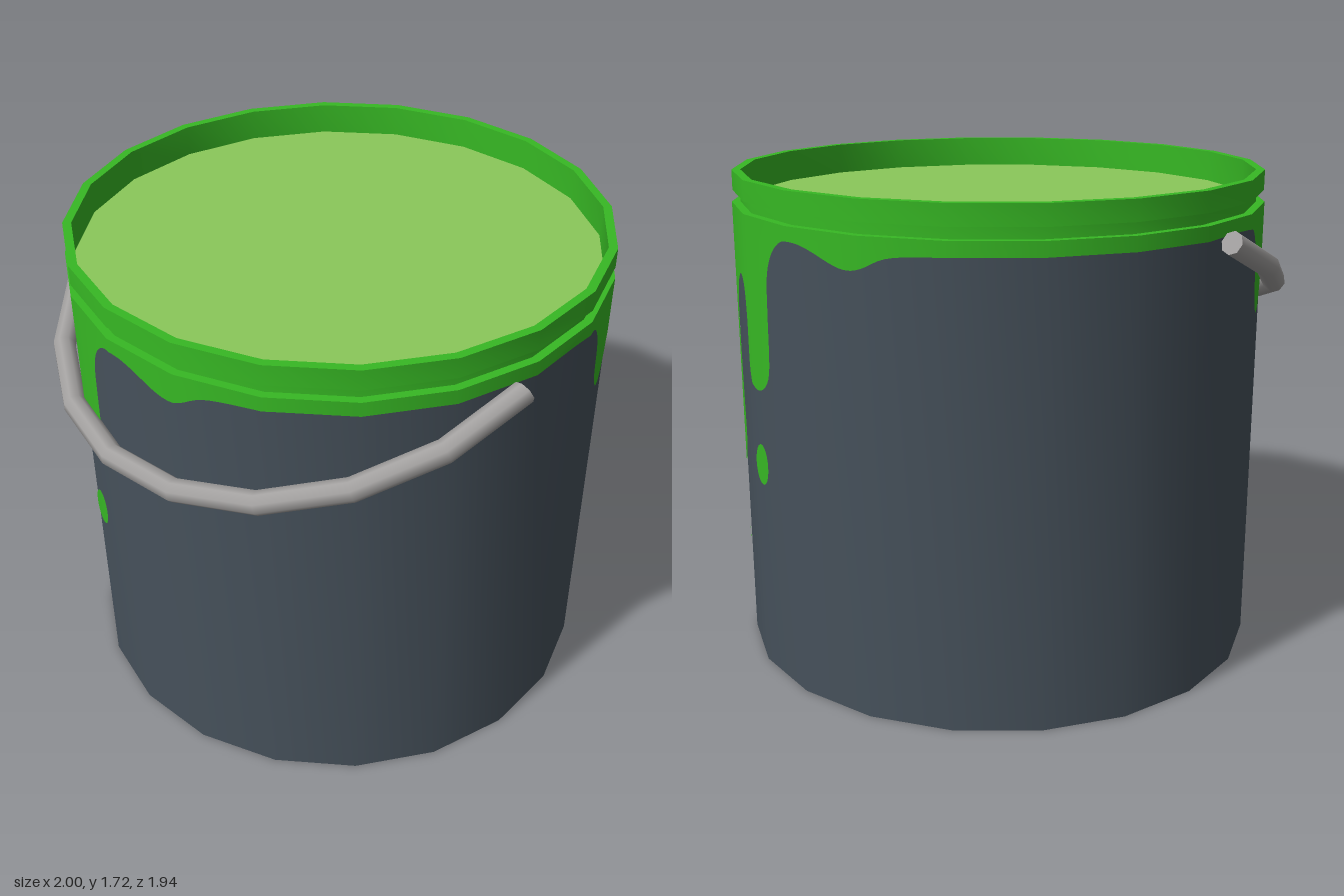
import * as THREE from 'three';
import { toCreasedNormals } from 'three/addons/utils/BufferGeometryUtils.js';

const SIDES = 20, STEP = 360 / SIDES, R = 0.93, BODY_TOP = 1.61, CENTRE_Z = -0.04;

const material = (name, color) => {
  const m = new THREE.MeshStandardMaterial({ color });
  m.name = name;
  return m;
};

// Faceted turned part: smooth around, sharp at the profile corners
const turned = (profile) => toCreasedNormals(
  new THREE.LatheGeometry(profile.map(([r, y]) => new THREE.Vector2(r, y)), SIDES), 0.6);

// Keep the part of a polygon on one side of a vertical line
function clip(points, limit, sign) {
  const out = [];
  points.forEach((a, i) => {
    const b = points[(i + 1) % points.length];
    const da = (a.x - limit) * sign, db = (b.x - limit) * sign;
    if (da >= 0) out.push(a.clone());
    if (da * db < 0) out.push(a.clone().lerp(b, da / (da - db)));
  });
  return out;
}

// Wrap an outline (x = degrees from the front, y = height) onto the flat sides of the pail
function wrap(outline, radius) {
  const pos = [], nor = [], index = [];
  for (let d = -90; d < 90; d += STEP) {
    const poly = clip(clip(outline, d, 1), d + STEP, -1);
    if (poly.length < 3) continue;
    const base = pos.length / 3;
    const a0 = THREE.MathUtils.degToRad(d), a1 = THREE.MathUtils.degToRad(d + STEP);
    const faces = THREE.ShapeUtils.triangulateShape(poly, []);
    for (const p of poly) {
      const a = THREE.MathUtils.degToRad(p.x);
      const mid = (a0 + a1) / 2;
      const t = 0.5 + Math.tan(a - mid) / (2 * Math.tan(a1 - mid));
      const x = THREE.MathUtils.lerp(Math.sin(a0), Math.sin(a1), t);
      const z = THREE.MathUtils.lerp(Math.cos(a0), Math.cos(a1), t);
      pos.push(x * radius, p.y, z * radius);
      nor.push(Math.sin(a), 0, Math.cos(a));
    }
    for (const f of faces) index.push(...f.map((i) => i + base));
  }
  const g = new THREE.BufferGeometry();
  g.setAttribute('position', new THREE.Float32BufferAttribute(pos, 3));
  g.setAttribute('normal', new THREE.Float32BufferAttribute(nor, 3));
  g.setIndex(index);
  return g;
}

// Lower edge of the spilled paint over half a turn
const DRIP_EDGE = [
  [-90, 1.56], [-73, 1.56], [-67, 1.53], [-63.5, 1.44], [-62.5, 1.32], [-60.5, 1.25],
  [-58.5, 1.235], [-56.5, 1.26], [-55, 1.33], [-54, 1.4], [-52, 1.46], [-49, 1.475],
  [-45.5, 1.45], [-43.2, 1.38], [-42, 1.2], [-42.6, 0.95], [-43.9, 0.78], [-42.6, 0.69],
  [-38.6, 0.635], [-34.2, 0.69], [-32.5, 0.78], [-33.3, 0.95], [-34, 1.2], [-32.3, 1.32],
  [-29.5, 1.37], [-26, 1.385], [-22.5, 1.35], [-20.6, 1.25], [-20.4, 1.1], [-18.3, 1.04],
  [-15, 1.02], [-11.5, 1.05], [-9.6, 1.12], [-9.2, 1.3], [-8.6, 1.43], [-6, 1.51],
  [-2, 1.555], [2, 1.56], [6, 1.545], [12, 1.51], [15.6, 1.5], [19, 1.51], [24, 1.545],
  [32, 1.557], [45, 1.56], [90, 1.56],
].map(([x, y]) => new THREE.Vector2(x, y));

// Separate drops: angle, height, half width in degrees, half height
const DROPS = [[-15.3, 0.755, 2.7, 0.073], [-38.2, 0.38, 2.5, 0.063]];

export function createModel() {
  const model = new THREE.Group();
  model.name = 'paintPail';
  const mat = {
    body: material('slate', 0x46515b),
    paint: material('paintGreen', 0x37b824),
    fill: material('lightGreen', 0x8bc85a),
    metal: material('metalGrey', 0xa3a1a0),
  };
  const add = (name, geometry, m, parent = model) => {
    const mesh = new THREE.Mesh(geometry, m);
    mesh.name = name;
    parent.add(mesh);
    return mesh;
  };

  const pail = new THREE.Group();
  pail.name = 'pail';
  pail.position.z = CENTRE_Z;
  model.add(pail);

  // Body with closed bottom
  add('body', turned([[0, 0], [R, 0], [R, BODY_TOP]]), mat.body, pail);

  // Grooved rim and inner wall
  add('rim', turned([
    [R + 0.004, BODY_TOP], [0.905, BODY_TOP], [0.905, 1.65], [R, 1.65],
    [R, 1.72], [0.9, 1.72], [0.9, 1.59],
  ]), mat.paint, pail);

  // Paint surface inside
  const fill = new THREE.CircleGeometry(0.902, SIDES).rotateX(-Math.PI / 2);
  add('paintSurface', fill, mat.fill, pail).position.y = 1.61;

  // Spilled paint and drops, repeated on the opposite half
  const edge = new THREE.SplineCurve(DRIP_EDGE).getPoints((DRIP_EDGE.length - 1) * 4);
  edge.push(new THREE.Vector2(90, BODY_TOP), new THREE.Vector2(-90, BODY_TOP));
  const spill = wrap(edge, R + 0.004);
  const drops = DROPS.map(([a, y, w, h]) =>
    wrap(new THREE.EllipseCurve(a, y, w, h).getPoints(24).slice(0, 24), R + 0.004));
  for (const turn of [0, Math.PI]) {
    add('paintSpill', spill, mat.paint, pail).rotation.y = turn;
    for (const d of drops) add('paintDrop', d, mat.paint, pail).rotation.y = turn;
  }

  // Hanging handle with end caps
  const handle = new THREE.Group();
  handle.name = 'handle';
  handle.position.set(0, 1.55, 0.043);
  handle.rotation.x = Math.PI / 2 + 0.406;
  model.add(handle);
  add('handleBar', new THREE.TorusGeometry(0.96, 0.04, 8, 10, Math.PI), mat.metal, handle);
  const cap = new THREE.CircleGeometry(0.04, 8).rotateX(Math.PI / 2);
  for (const s of [-1, 1]) add('handleEnd', cap, mat.metal, handle).position.x = s * 0.96;

  return model;
}
